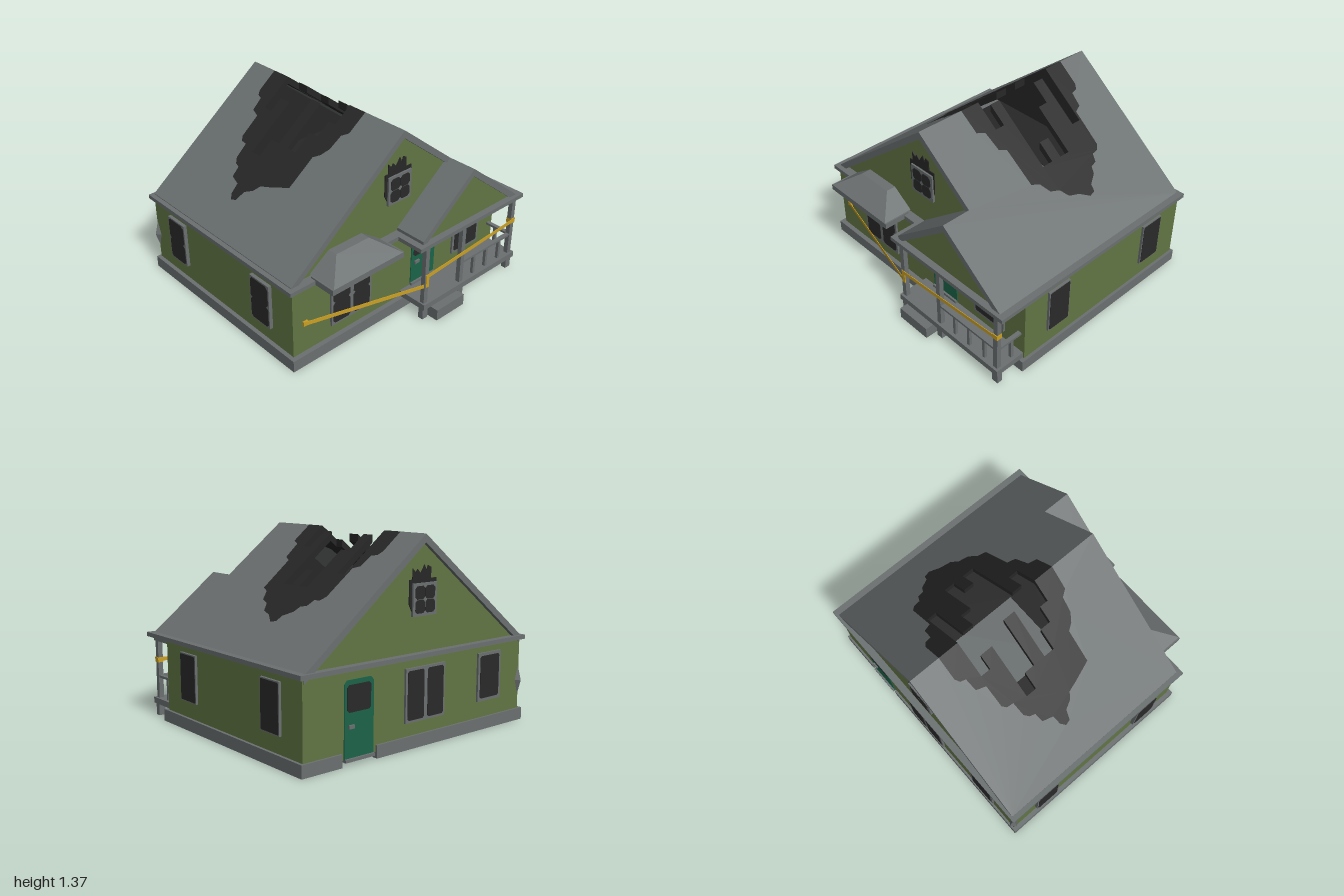
import * as THREE from 'three';
import { ConvexGeometry } from 'three/addons/geometries/ConvexGeometry.js';

const mat = (name, color) => Object.assign(new THREE.MeshStandardMaterial({ color }), { name });

export function createModel() {
  const house = new THREE.Group();
  house.name = 'burntHouse';
  const grey = mat('greyTrim', 0x6b7071), green = mat('greenSiding', 0x637644);
  const char = mat('charredWood', 0x272727), glass = mat('darkGlass', 0x2a2a2a);
  const teal = mat('tealDoor', 0x1c6449), yellow = mat('yellowTape', 0xcba024);

  const add = (name, geo, m, parent = house) => {
    const mesh = new THREE.Mesh(geo, m);
    mesh.name = name;
    parent.add(mesh);
    return mesh;
  };
  // box given by its min and max on each axis
  const box = (name, m, x0, x1, y0, y1, z0, z1, parent) => {
    const g = new THREE.BoxGeometry(x1 - x0, y1 - y0, z1 - z0);
    g.translate((x0 + x1) / 2, (y0 + y1) / 2, (z0 + z1) / 2);
    return add(name, g, m, parent);
  };
  const shape = pts => new THREE.Shape(pts.map(p => new THREE.Vector2(p[0], p[1])));
  const plate = (name, m, pts, depth, z, parent) => {
    const g = new THREE.ExtrudeGeometry(shape(pts), { depth, bevelEnabled: false });
    return add(name, g.translate(0, 0, z), m, parent);
  };
  // rectangle with cut corners
  const octagon = (x0, x1, y0, y1, c) => [[x0 + c, y0], [x1 - c, y0], [x1, y0 + c], [x1, y1 - c],
    [x1 - c, y1], [x0 + c, y1], [x0, y1 - c], [x0, y0 + c]];

  // foundation, open underneath, with a gap at the back door
  box('foundationFront', grey, -1, 0.99, 0, 0.085, 0.63, 0.67);
  box('foundationBack', grey, -1, 0.4, 0, 0.085, -0.92, -0.88);
  box('foundationBack', grey, 0.68, 0.99, 0, 0.085, -0.92, -0.88);
  box('foundationLeft', grey, 0.95, 0.99, 0, 0.085, -0.92, 0.67);
  box('foundationRight', grey, -1, -0.96, 0, 0.085, -0.92, 0.67);

  // walls and gables, the gables scorched inside
  box('frontWall', green, -0.97, 0.97, 0.04, 0.59, 0.615, 0.635);
  box('backWall', green, -0.97, 0.97, 0.04, 0.59, -0.905, -0.885);
  for (const s of [-1, 1]) box('sideWall', green, s * 0.96 - 0.01, s * 0.96 + 0.01, 0.04, 0.59, -0.9, 0.63);
  const gable = [[-0.95, 0.6], [0.93, 0.6], [-0.01, 1.335]];
  plate('frontGable', green, gable, 0.02, 0.575);
  plate('backGable', green, gable, 0.02, -0.88);
  for (const z of [0.567, -0.86]) plate('scorchedLining', char, gable, 0.008, z);
  plate('porchGable', green, [[-0.03, 0.6], [0.94, 0.6], [0.45, 0.98]], 0.02, 0.8);

  // eaves, doubling as attic floor and porch ceiling
  box('eaves', grey, -1, 1, 0.585, 0.615, -0.93, 0.66);
  box('porchEaves', grey, -0.07, 1, 0.585, 0.615, 0.66, 0.868);

  // roof slabs: outline in plan, dropped with distance from the ridge
  const roof = (name, m, pts, ridgeX, ridgeY, slope) => {
    const g = new THREE.ExtrudeGeometry(shape(pts), { depth: 0.055, bevelEnabled: false });
    g.rotateX(Math.PI / 2);
    const p = g.attributes.position;
    for (let i = 0; i < p.count; i++) p.setY(i, p.getY(i) + ridgeY - slope * Math.abs(p.getX(i) - ridgeX));
    g.computeVertexNormals();
    return add(name, g, m);
  };
  // burnt patch outlines on both slopes, ridge to ridge from back to front
  const burnRight = [[-0.01, -0.68], [-0.15, -0.68], [-0.18, -0.66], [-0.19, -0.62], [-0.27, -0.61], [-0.29, -0.54],
    [-0.43, -0.535], [-0.455, -0.51], [-0.46, -0.46], [-0.55, -0.45], [-0.58, -0.42], [-0.59, -0.38], [-0.65, -0.37],
    [-0.67, -0.29], [-0.73, -0.28], [-0.76, -0.25], [-0.75, -0.21], [-0.69, -0.19], [-0.66, -0.13], [-0.62, -0.1],
    [-0.6, -0.03], [-0.57, 0.06], [-0.55, 0.12], [-0.35, 0.125], [-0.32, 0.17], [-0.27, 0.205], [-0.18, 0.215],
    [-0.15, 0.26], [-0.01, 0.265]];
  const burnLeft = [[-0.01, -0.68], [0.14, -0.68], [0.17, -0.66], [0.18, -0.61], [0.26, -0.6], [0.28, -0.545],
    [0.49, -0.54], [0.52, -0.51], [0.525, -0.46], [0.57, -0.44], [0.58, -0.39], [0.62, -0.37], [0.66, -0.3],
    [0.7, -0.29], [0.71, -0.24], [0.67, -0.17], [0.65, -0.09], [0.6, -0.05], [0.58, 0.02], [0.52, 0.06],
    [0.5, 0.12], [0.28, 0.13], [0.26, 0.185], [0.15, 0.2], [0.13, 0.26], [-0.01, 0.265]];
  // broken boards round the hole: front edge z and reach x, from back to front
  const boardsRight = [[-0.455, -0.23], [-0.36, -0.14], [-0.28, -0.48], [-0.2, -0.37], [-0.11, -0.07],
    [-0.03, -0.37], [0.05, -0.24], [0.115, -0.14]];
  const boardsLeft = [[-0.455, 0.33], [-0.37, 0.03], [-0.29, 0.16], [-0.21, 0.45], [-0.13, 0.33],
    [-0.04, 0.45], [0.04, 0.03], [0.115, 0.16]];
  const holeEdge = boards => {
    let z = -0.528;
    const pts = [[-0.01, z]];
    for (const [z1, x] of boards) {
      pts.push([x, z], [x, z1]);
      z = z1;
    }
    return [...pts, [-0.01, z]];
  };
  const rimRight = [[-0.01, 0.625], [-0.965, 0.625], [-0.965, -0.91], [-0.01, -0.91]];
  const rimLeft = [[-0.01, 0.625], [0.45, 0.625], [0.45, 0.84], [0.96, 0.84], [0.96, -0.91], [-0.01, -0.91]];
  for (const [side, burn, boards, rim] of [['Right', burnRight, boardsRight, rimRight], ['Left', burnLeft, boardsLeft, rimLeft]]) {
    roof('roof' + side, grey, [...rim, ...burn], -0.01, 1.37, 0.785);
    roof('burntRoof' + side, char, [...burn, ...holeEdge(boards).reverse()], -0.01, 1.37, 0.785);
  }
  roof('porchRoof', grey, [[-0.02, 0.6], [0.45, 0.6], [0.45, 0.84], [-0.02, 0.84]], 0.45, 1.009, 0.79);

  // scorched attic floor round a clear middle
  const floor = shape([[-0.8, -0.85], [0.8, -0.85], [0.8, 0.56], [-0.8, 0.56]]);
  floor.holes.push(new THREE.Path([[-0.28, -0.455], [-0.28, 0.118], [0.24, 0.118], [0.24, -0.455]].map(p => new THREE.Vector2(...p))));
  const floorGeo = new THREE.ExtrudeGeometry(floor, { depth: 0.005, bevelEnabled: false });
  add('scorchedFloor', floorGeo.rotateX(Math.PI / 2).translate(0, 0.62, 0), char);

  // hipped awning over the front window
  box('awningFascia', grey, -0.8, -0.18, 0.585, 0.627, 0.62, 0.82);
  const hip = [];
  for (const z of [0.595, 0.82]) for (const x of [-0.79, -0.19]) hip.push(new THREE.Vector3(x, 0.627, z));
  for (const z of [0.595, 0.665]) for (const x of [-0.63, -0.35]) hip.push(new THREE.Vector3(x, 0.737, z));
  add('awningRoof', new ConvexGeometry(hip), grey);

  // window: grey frame with panes, facing +z before it is turned
  const makeWindow = (name, w, h, cols, rows, gapX, gapY, cut, depth = 0.018, border = 0.02) => {
    const g = new THREE.Group();
    g.name = name;
    box('windowFrame', grey, -w / 2, w / 2, -h / 2, h / 2, 0, depth, g);
    const pw = (w - 2 * border - gapX * (cols - 1)) / cols, ph = (h - 2 * border - gapY * (rows - 1)) / rows;
    for (let c = 0; c < cols; c++) for (let r = 0; r < rows; r++) {
      const x = -w / 2 + border + c * (pw + gapX), y = -h / 2 + border + r * (ph + gapY);
      plate('pane', glass, octagon(x, x + pw, y, y + ph, cut), 0.003, depth, g);
    }
    house.add(g);
    return g;
  };
  const place = (g, x, y, z, turn = 0) => {
    g.position.set(x, y, z);
    g.rotation.y = turn;
  };
  const back = Math.PI;
  place(makeWindow('frontDoubleWindow', 0.355, 0.355, 2, 2, 0.032, 0, 0.016, 0.015, 0.016), -0.48, 0.352, 0.635);
  place(makeWindow('porchWindow', 0.28, 0.335, 1, 2, 0, 0.016, 0.006, 0.015), 0.65, 0.37, 0.635);
  place(makeWindow('backDoubleWindow', 0.355, 0.355, 2, 1, 0.032, 0, 0.012, 0.015, 0.016), -0.02, 0.352, -0.905, back);
  place(makeWindow('backWindow', 0.23, 0.335, 1, 1, 0, 0, 0.012, 0.015), -0.64, 0.37, -0.905, back);
  for (const z of [0.335, -0.605]) {
    place(makeWindow('leftWindow', 0.195, 0.335, 1, 1, 0, 0, 0.005, 0.017, 0.008), 0.97, 0.37, z, Math.PI / 2);
    place(makeWindow('rightWindow', 0.195, 0.335, 1, 2, 0, 0, 0.016, 0.025, 0.01), -0.97, 0.37, z, -Math.PI / 2);
  }

  // attic windows with soot above
  const soot = [[-0.128, -0.025], [-0.1, -0.08], [0.1, -0.08], [0.108, -0.025], [0.113, 0.03], [0.113, 0.13],
    [0.063, 0.13], [0.063, 0.2], [0.035, 0.213], [0.022, 0.178], [0.005, 0.218], [-0.03, 0.165], [-0.058, 0.195],
    [-0.07, 0.172], [-0.1, 0.2], [-0.1, 0.13], [-0.128, 0.13]];
  for (const [z, turn] of [[0.595, 0], [-0.88, back]]) {
    const g = makeWindow('atticWindow', 0.21, 0.21, 2, 2, 0.004, 0.004, 0.016, 0.018, 0.018);
    plate('soot', char, soot, 0.006, 0, g);
    place(g, -0.022, 0.955, z, turn);
  }

  // doors, running through the wall
  const makeDoor = (name, h) => {
    const g = new THREE.Group();
    g.name = name;
    const t = h / 2, panel = [[-0.118, -t], [0.118, -t], [0.118, t - 0.025], [0.095, t], [-0.095, t], [-0.118, t - 0.025]];
    plate('doorPanel', teal, panel, 0.031, -0.025, g);
    for (const z of [0.006, -0.028]) plate('doorGlass', glass, octagon(-0.097, 0.093, t - 0.2, t - 0.03, 0.015), 0.003, z, g);
    box('doorHandle', grey, -0.088, -0.043, -0.055, -0.032, 0.006, 0.018, g);
    box('threshold', grey, -0.118, 0.118, -t - 0.015, -t + 0.005, -0.01, 0.02, g);
    house.add(g);
    return g;
  };
  place(makeDoor('frontDoor', 0.415), 0.208, 0.353, 0.635);
  place(makeDoor('backDoor', 0.49), 0.54, 0.285, -0.905, back);

  // porch
  box('porchDeck', grey, -0.01, 0.96, 0.087, 0.13, 0.63, 0.87);
  box('porchStep', grey, 0.06, 0.335, 0, 0.085, 0.825, 0.93);
  for (const x of [0.02, 0.385, 0.925]) {
    box('porchPost', grey, x - 0.018, x + 0.018, 0.13, 0.585, 0.818, 0.852);
    box('porchFoot', grey, x - 0.025, x + 0.025, 0, 0.087, 0.815, 0.855);
  }
  box('frontRail', grey, 0.385, 0.925, 0.28, 0.297, 0.82, 0.85);
  box('sideRail', grey, 0.91, 0.94, 0.28, 0.297, 0.63, 0.83);
  for (const x of [0.53, 0.665, 0.81]) box('baluster', grey, x - 0.011, x + 0.011, 0.13, 0.28, 0.824, 0.846);
  box('baluster', grey, 0.914, 0.936, 0.13, 0.28, 0.7, 0.722);

  // corner fitting at the back
  const fitting = add('cornerFitting', new THREE.OctahedronGeometry(1), grey);
  fitting.scale.set(0.035, 0.12, 0.035);
  fitting.position.set(-0.965, 0.29, -0.9);

  // barrier tape strung between wall and posts
  const tape = (a, b) => {
    const from = new THREE.Vector3(...a), to = new THREE.Vector3(...b);
    const m = add('barrierTape', new THREE.BoxGeometry(0.004, 0.028, from.distanceTo(to)), yellow);
    m.position.copy(from).add(to).multiplyScalar(0.5);
    m.lookAt(to);
  };
  tape([-0.89, 0.312, 0.642], [0.04, 0.272, 0.855]);
  tape([0.01, 0.348, 0.855], [0.945, 0.41, 0.855]);
  box('tapeWrap', yellow, 0.012, 0.04, 0.26, 0.362, 0.85, 0.857);
  box('tapeEnd', yellow, -0.89, -0.853, 0.294, 0.33, 0.63, 0.647);
  box('tapeEnd', yellow, 0.905, 0.947, 0.392, 0.428, 0.814, 0.858);

  return house;
}
